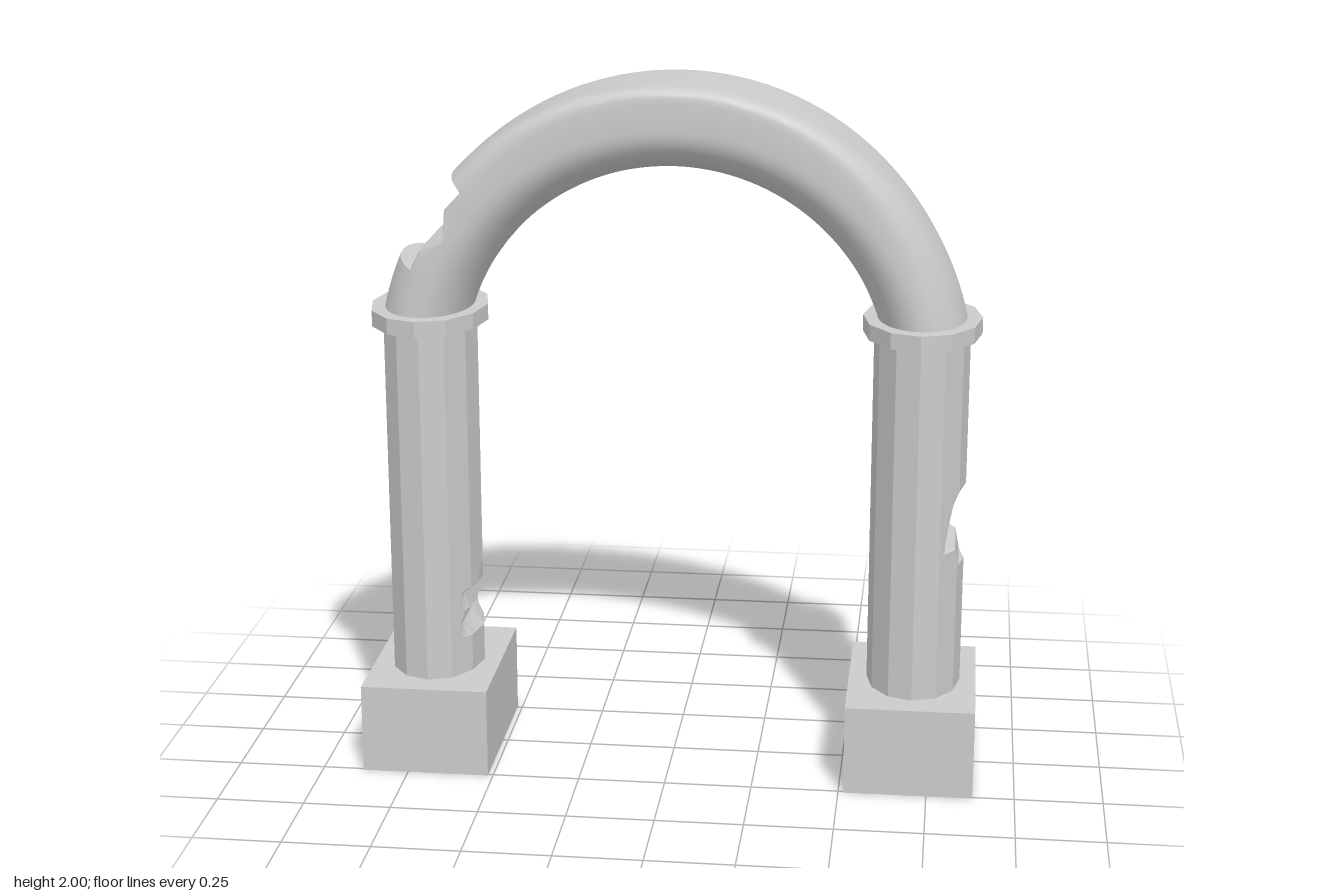
import * as THREE from 'three';
import { toCreasedNormals } from 'three/addons/utils/BufferGeometryUtils.js';

const COLUMN_X = 0.7;
const flat = new THREE.MeshStandardMaterial({ color: 0xcccccc, flatShading: true });
const smooth = new THREE.MeshStandardMaterial({ color: 0xcccccc });

function add(parent, name, geometry, material, x = 0, y = 0) {
  const mesh = new THREE.Mesh(geometry, material);
  mesh.name = name;
  mesh.position.set(x, y, 0);
  parent.add(mesh);
}

// Skin over a list of closed rings with equal point counts
function loft(rings) {
  const n = rings[0].length;
  const index = [];
  for (let i = 0; i < rings.length - 1; i++) {
    for (let j = 0; j < n; j++) {
      const k = (j + 1) % n;
      const a = i * n + j, b = i * n + k;
      index.push(a, b, b + n, a, b + n, a + n);
    }
  }
  const geometry = new THREE.BufferGeometry();
  geometry.setAttribute('position', new THREE.Float32BufferAttribute(rings.flat(2), 3));
  geometry.setIndex(index);
  return geometry;
}

// Twelve-sided oval shaft; each level [y, limit, pit] cuts away its +x side
function columnGeometry(chips) {
  const levels = [[0.26, 1, 0], ...chips, [1.31, 1, 0]];
  const sub = 6;
  const rings = levels.map(([y, limit, pit = 0]) => {
    const ring = [];
    for (let j = 0; j < 12 * sub; j++) {
      const a = Math.floor(j / sub) * Math.PI / 6, b = a + Math.PI / 6, f = (j % sub) / sub;
      const x = 0.135 * THREE.MathUtils.lerp(Math.cos(a), Math.cos(b), f);
      const z = -0.182 * THREE.MathUtils.lerp(Math.sin(a), Math.sin(b), f);
      const cut = limit - pit * Math.max(0, 1 - Math.abs(z) / 0.09);
      ring.push([Math.min(x, cut), y, z]);
    }
    return ring;
  });
  return loft(rings).toNonIndexed();
}

// Curved beam: oval at the feet, square-edged on top at the crown, broken on one flank
function archGeometry() {
  const R = 0.725, thick = 0.121, halfDepth = 0.182, centreY = 1.155;
  // Break floor: [degrees above the right foot, outer radius left]
  const broken = [[24, 1], [24.2, 0.79], [28.7, 0.79], [33, 0.745], [38.7, 0.793], [43.4, 0.78], [43.8, 1]];
  const stations = [];
  for (let d = 11; d <= 169; d += 2) {
    if (d < 136 || d > 156.2) stations.push([d, 1]);
  }
  broken.forEach(([d, r]) => stations.push([180 - d, r]));
  stations.sort((a, b) => a[0] - b[0]);

  const rings = stations.map(([deg, limit]) => {
    const angle = THREE.MathUtils.degToRad(deg);
    const power = 2 / (2 + 8 * Math.sin(angle) ** 4);
    const ring = [];
    for (let j = 0; j < 40; j++) {
      const t = j / 40 * Math.PI * 2;
      const c = Math.cos(t), s = Math.sin(t);
      const p = c > 0.0001 ? power : 1;
      const r = Math.min(R + thick * Math.sign(c) * Math.abs(c) ** p, limit);
      const z = -halfDepth * Math.sign(s) * Math.abs(s) ** p;
      ring.push([r * Math.cos(angle), centreY + r * Math.sin(angle), z]);
    }
    return ring;
  });
  return toCreasedNormals(loft(rings), 0.6);
}

export function createModel() {
  const model = new THREE.Group();
  model.name = 'brokenArch';

  // Plinths and capitals
  for (const [side, sign] of [['left', 1], ['right', -1]]) {
    const x = sign * (COLUMN_X - 0.002);
    add(model, side + 'Plinth', new THREE.BoxGeometry(0.367, 0.26, 0.514), flat, x, 0.13);
    const capital = new THREE.CylinderGeometry(1, 1, 0.046, 12).scale(0.167, 1, 0.23);
    add(model, side + 'Capital', capital, flat, sign * COLUMN_X, 1.322);
  }

  // Left shaft, chipped on its outer side
  add(model, 'leftColumn', columnGeometry([
    [0.635, 1], [0.64, 0.12], [0.69, 0.11], [0.698, 0.08], [0.72, 0.082, 0.03],
    [0.77, 0.09, 0.03], [0.82, 0.1], [0.85, 0.112], [0.86, 1],
  ]), flat, COLUMN_X);

  // Right shaft, chipped on its inner side
  add(model, 'rightColumn', columnGeometry([
    [0.37, 1], [0.413, 0.092], [0.455, 0.113], [0.508, 0.097], [0.515, 0.128], [0.57, 1],
  ]), flat, -COLUMN_X);

  add(model, 'arch', archGeometry(), smooth);
  return model;
}
